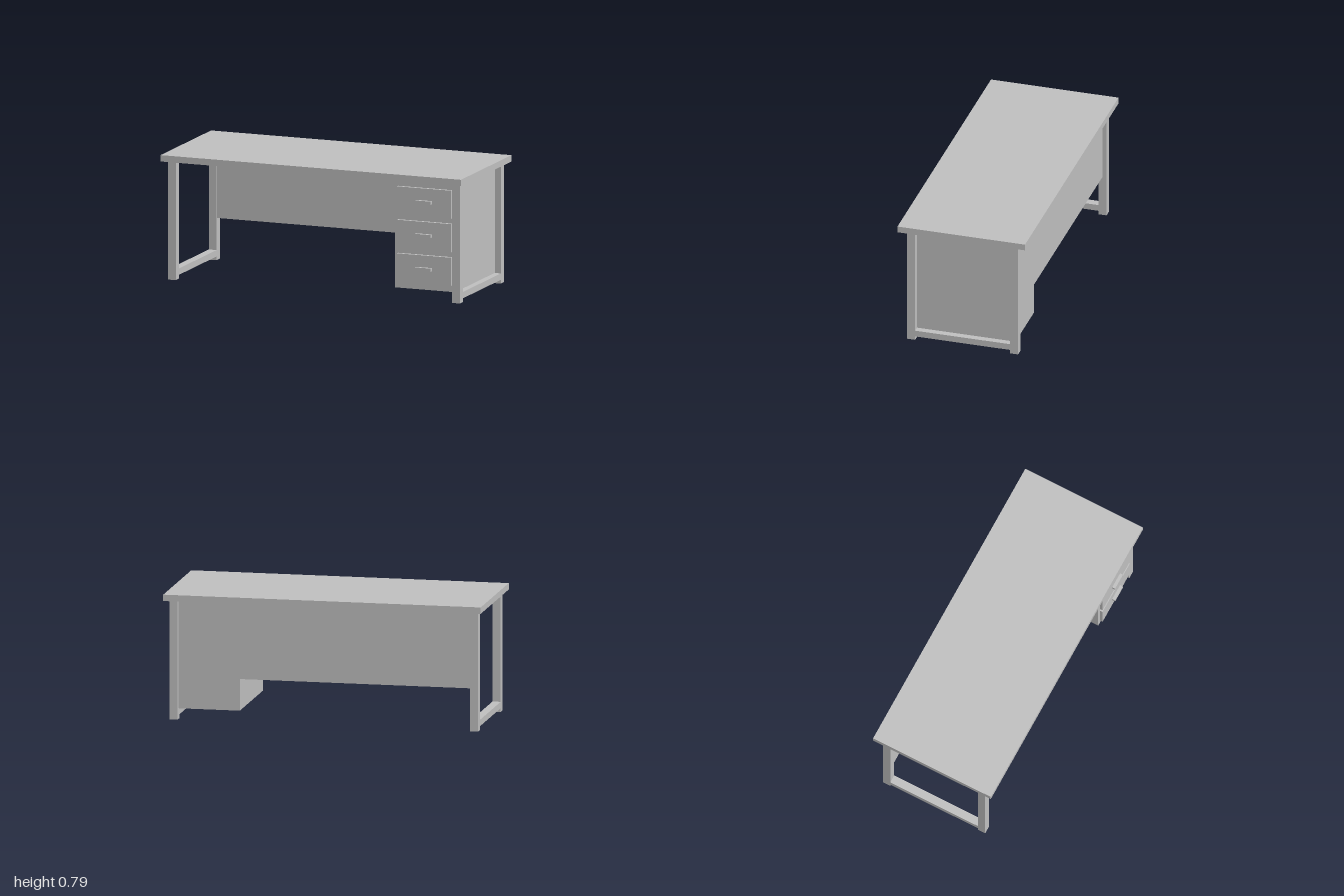
import * as THREE from 'three';

const grey = new THREE.MeshStandardMaterial({ color: 0xc0c0c0 });
grey.name = 'plain grey';

// Box given by its minimum and maximum on each axis
function box(name, [x0, x1], [y0, y1], [z0, z1]) {
  const mesh = new THREE.Mesh(new THREE.BoxGeometry(x1 - x0, y1 - y0, z1 - z0), grey);
  mesh.position.set((x0 + x1) / 2, (y0 + y1) / 2, (z0 + z1) / 2);
  mesh.name = name;
  return mesh;
}

export function createModel() {
  const desk = new THREE.Group();
  desk.name = 'desk';

  desk.add(box('desktop', [-1, 1], [0.75, 0.79], [-0.41, 0.41]));

  // Side frames: two legs joined by a low rail
  for (const side of [-1, 1]) {
    const frame = new THREE.Group();
    frame.name = side > 0 ? 'leftFrame' : 'rightFrame';
    const xs = side > 0 ? [0.92, 0.972] : [-0.972, -0.92];
    frame.add(
      box('frontLeg', xs, [0, 0.75], [0.305, 0.357]),
      box('backLeg', xs, [0, 0.75], [-0.357, -0.305]),
      box('bottomRail', xs, [0.024, 0.064], [-0.305, 0.305])
    );
    desk.add(frame);
  }

  // Modesty panel across the back
  desk.add(box('backPanel', [-0.92, 0.92], [0.265, 0.75], [-0.331, -0.311]));

  // Drawer cabinet, set slightly into the frame
  const cabinet = new THREE.Group();
  cabinet.name = 'drawerCabinet';
  cabinet.add(box('cabinetBody', [0.535, 0.934], [0.066, 0.75], [-0.329, 0.345]));
  for (const y of [0.196, 0.407, 0.617]) {
    cabinet.add(
      box('drawerFront', [0.556, 0.915], [y - 0.089, y + 0.089], [0.345, 0.364]),
      box('drawerHandle', [0.683, 0.787], [y - 0.006, y + 0.014], [0.364, 0.384])
    );
  }
  desk.add(cabinet);

  return desk;
}
